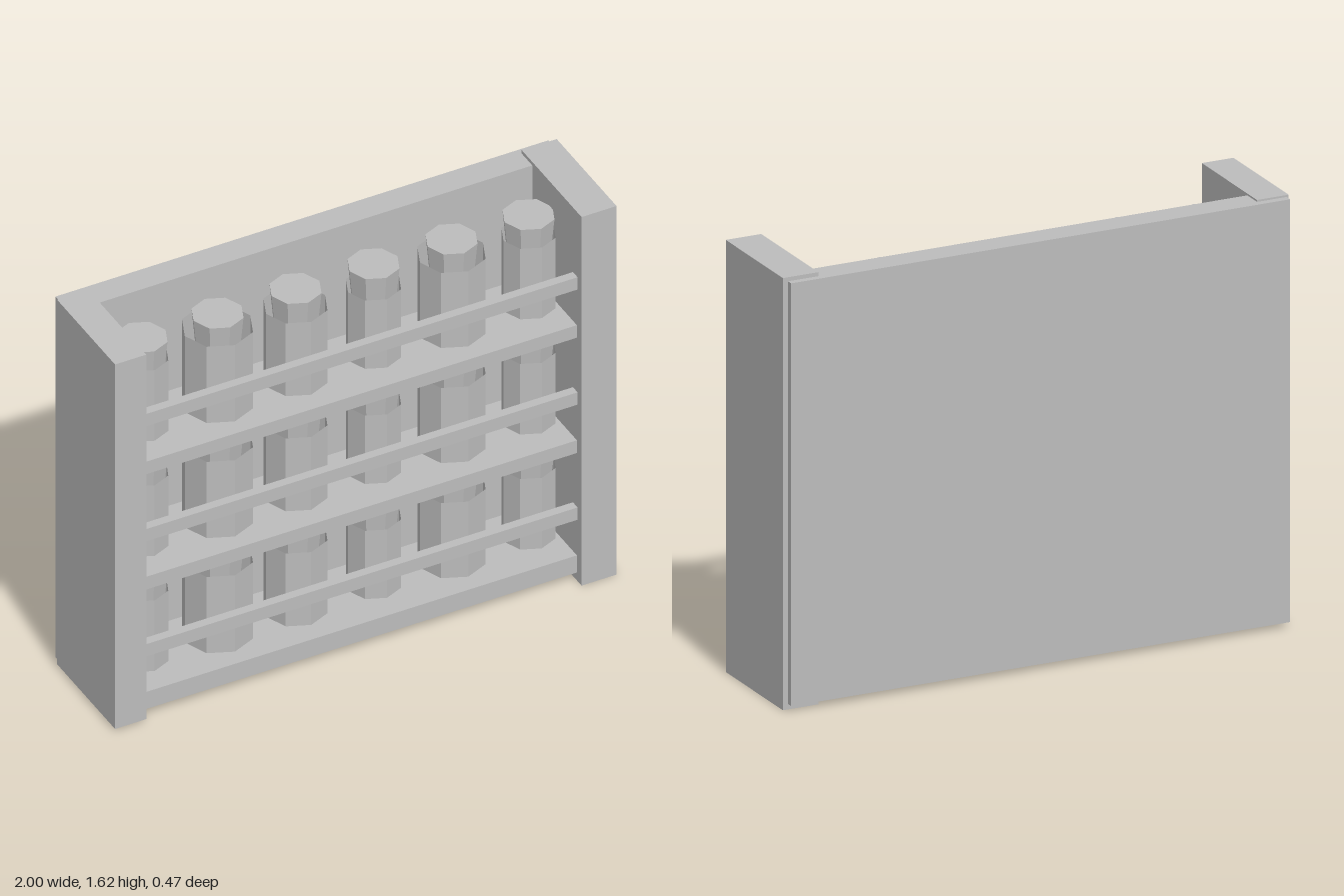
import * as THREE from 'three';

export function createModel() {
  const rack = new THREE.Group();
  rack.name = 'bottleRack';
  const grey = new THREE.MeshStandardMaterial({ color: 0xbcbcbc, flatShading: true, side: THREE.DoubleSide });
  grey.name = 'plain grey';

  // Box given by its limits on each axis
  function board(name, [x0, x1], [y0, y1], [z0, z1]) {
    const mesh = new THREE.Mesh(new THREE.BoxGeometry(x1 - x0, y1 - y0, z1 - z0), grey);
    mesh.position.set((x0 + x1) / 2, (y0 + y1) / 2, (z0 + z1) / 2);
    mesh.name = name;
    rack.add(mesh);
  }

  // Frame: two slightly uneven sides and a back panel
  board('rightSide', [-1, -0.875], [0.01, 1.612], [-0.212, 0.223]);
  board('leftSide', [0.86, 1], [0, 1.62], [-0.215, 0.235]);
  board('backPanel', [-0.992, 0.98], [0.02, 1.605], [-0.24, -0.135]);

  // Eight-sided bottle: open-topped body with a tapered stopper set into it
  function bottle(x, radius, bodyHeight) {
    const group = new THREE.Group();
    group.name = 'bottle';
    const body = new THREE.Mesh(new THREE.CylinderGeometry(radius, radius, bodyHeight, 8, 1, true), grey);
    body.position.y = bodyHeight / 2;
    body.name = 'bottleBody';
    const stopper = new THREE.Mesh(new THREE.CylinderGeometry(0.096, 0.083, 0.14, 8), grey);
    stopper.position.y = 0.32;
    stopper.name = 'stopper';
    group.add(body, stopper);
    group.position.set(x, 0, 0.005);
    return group;
  }

  // x, body radius, body height
  const bottles = [
    [-0.778, 0.099, 0.31], [-0.474, 0.131, 0.335], [-0.162, 0.118, 0.32],
    [0.15, 0.102, 0.3], [0.462, 0.126, 0.33], [0.77, 0.1, 0.31],
  ];

  // Three shelves, each with a rail and a row of bottles
  const inner = [-0.88, 0.87];
  for (const [top, bottom] of [[0.11, 0.035], [0.616, 0.56], [1.122, 1.067]]) {
    board('shelf', inner, [bottom, top], [-0.14, 0.2]);
    board('rail', inner, [top + 0.16, top + 0.214], [0.17, 0.205]);
    const row = new THREE.Group();
    row.name = 'bottleRow';
    row.position.y = top;
    for (const b of bottles) row.add(bottle(...b));
    rack.add(row);
  }
  return rack;
}
